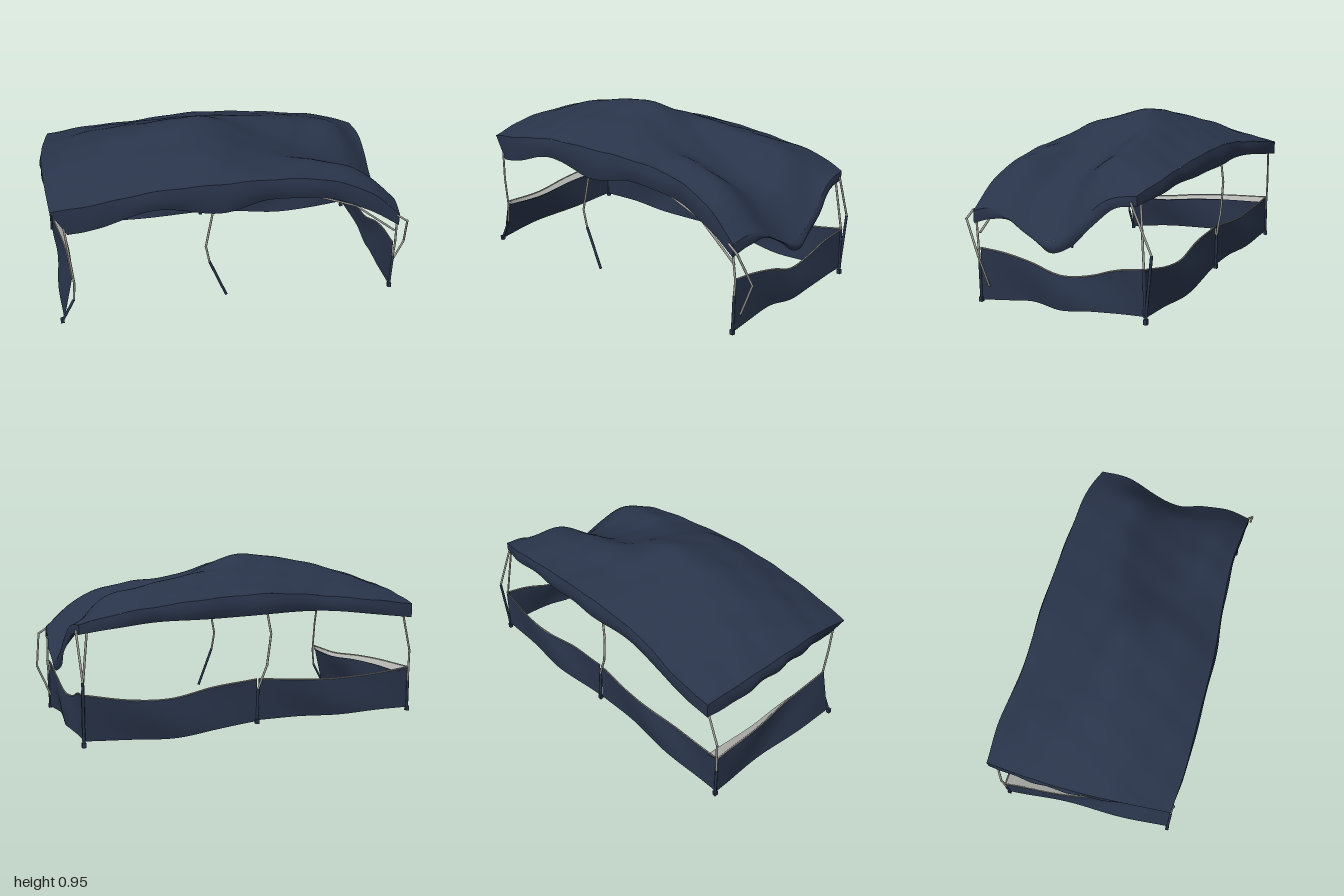
import * as THREE from 'three';

const mat = (name, color, side = THREE.FrontSide) => {
  const m = new THREE.MeshStandardMaterial({ color, side });
  m.name = name;
  return m;
};

// Smooth value at t (0..1) through evenly spaced values
function along(vals, t) {
  const n = vals.length - 1, s = Math.min(Math.max(t, 0), 1) * n;
  const i = Math.min(Math.floor(s), n - 1), f = s - i;
  const b = vals[i], c = vals[i + 1];
  const a = i > 0 ? vals[i - 1] : 2 * b - c;
  const d = i + 2 <= n ? vals[i + 2] : 2 * c - b;
  return b + 0.5 * f * (c - a + f * (2 * a - 5 * b + 4 * c - d + f * (3 * (b - c) + d - a)));
}

// Cloth surface: place(u, v) gives the point for u, v in 0..1
function sheet(name, material, nu, nv, place) {
  const g = new THREE.PlaneGeometry(1, 1, nu, nv), p = g.attributes.position;
  for (let i = 0; i < p.count; i++) p.setXYZ(i, ...place(p.getX(i) + 0.5, 0.5 - p.getY(i)));
  g.computeVertexNormals();
  const m = new THREE.Mesh(g, material);
  m.name = name;
  return m;
}

// Bent pole: straight rods between points with a small joint at each bend
function pole(name, material, points, r = 0.006) {
  const group = new THREE.Group();
  group.name = name;
  const pts = points.map(p => new THREE.Vector3(...p));
  for (let i = 0; i < pts.length - 1; i++) {
    const dir = pts[i + 1].clone().sub(pts[i]);
    const rod = new THREE.Mesh(new THREE.CylinderGeometry(r, r, dir.length(), 8), material);
    rod.position.copy(pts[i]).addScaledVector(dir, 0.5);
    rod.quaternion.setFromUnitVectors(new THREE.Vector3(0, 1, 0), dir.normalize());
    rod.name = 'rod';
    group.add(rod);
    if (i === 0) continue;
    const joint = new THREE.Mesh(new THREE.SphereGeometry(r * 1.15, 8, 6), material);
    joint.position.copy(pts[i]);
    joint.name = 'joint';
    group.add(joint);
  }
  return group;
}

// Roof heights: one row per x station (right end to left end), values from back to front
const stations = [-1, -0.75, -0.45, -0.1, 0.2, 0.5, 0.75, 0.95];
const roofRows = [
  [0.68, 0.71, 0.73, 0.745, 0.745, 0.72, 0.68],
  [0.71, 0.76, 0.81, 0.83, 0.82, 0.77, 0.715],
  [0.74, 0.80, 0.86, 0.905, 0.88, 0.83, 0.755],
  [0.77, 0.82, 0.875, 0.94, 0.90, 0.86, 0.77],
  [0.76, 0.80, 0.855, 0.825, 0.81, 0.80, 0.76],
  [0.73, 0.78, 0.805, 0.72, 0.705, 0.765, 0.73],
  [0.70, 0.735, 0.73, 0.61, 0.605, 0.69, 0.65],
  [0.65, 0.62, 0.48, 0.39, 0.44, 0.52, 0.50],
];
const backZ = [-0.53, -0.53, -0.49, -0.49, -0.485, -0.475, -0.465, -0.42];
const frontZ = [0.48, 0.5, 0.5, 0.5, 0.48, 0.47, 0.49, 0.51];

function roof(u, v) {
  const y = along(roofRows.map(r => along(r, v)), u);
  const bow = Math.sin(Math.PI * v) * 0.035;
  const x = along(stations, u) + (u < 0.5 ? (1 - 2 * u) * (0.037 - bow) : (2 * u - 1) * (bow - 0.03));
  const z = THREE.MathUtils.lerp(along(backZ, u), along(frontZ, u), v);
  const wrinkle = 0.004 * Math.sin(9 * x + 23 * z) * Math.sin(17 * x - 8 * z);
  return [x, y + wrinkle, z];
}

export function createModel() {
  const model = new THREE.Group();
  model.name = 'canopyTent';
  const cloth = mat('navyCloth', 0x29344a, THREE.DoubleSide);
  const metal = mat('greyMetal', 0x9b9a96);
  const lining = mat('paleLining', 0xb2b2ae);

  model.add(sheet('roof', cloth, 64, 40, roof));

  // Hanging valances: roof edge, hem heights, outward direction and
  // how far the hem tucks in towards the front right corner
  const edges = {
    frontValance: [t => roof(t, 1), [0.54, 0.57, 0.65, 0.60, 0.64, 0.62, 0.54, 0.43], [0, 1],
      t => 0.08 * Math.max(0, 1 - t / 0.12)],
    backValance: [t => roof(t, 0), [0.60, 0.63, 0.66, 0.66, 0.65, 0.65, 0.63, 0.60], [0, -1], () => 0],
    leftEndValance: [t => roof(1, t), [0.60, 0.58, 0.48, 0.37, 0.335, 0.41, 0.47, 0.465, 0.43], [1, 0], () => 0],
    rightEndValance: [t => roof(0, t), [0.60, 0.61, 0.64, 0.65, 0.64, 0.61, 0.54], [-1, 0],
      t => 0.08 * t ** 3],
  };
  for (const [name, [edge, hem, out, tuck]] of Object.entries(edges)) {
    model.add(sheet(name, cloth, 60, 6, (t, v) => {
      const [x, y, z] = edge(t);
      const fold = (0.012 * Math.sin(Math.PI * v) + 0.007 * v * Math.sin(31 * t)) * Math.sin(Math.PI * t);
      return [x + out[0] * fold + tuck(t) * v, THREE.MathUtils.lerp(y, along(hem, t), v), z + out[1] * fold];
    }));
  }

  // Low walls: a ground line with top and bottom heights, and a rope along the top
  const wall = (name, a, b, tops, bottoms, lean = 0) => {
    const at = (t, v) => {
      const wave = 0.014 * Math.sin(Math.PI * t) * Math.sin(6 * t + 3 * v);
      const dx = b[0] - a[0], dz = b[1] - a[1], len = Math.hypot(dx, dz);
      return [
        a[0] + dx * t - dz / len * wave + lean * v * t,
        THREE.MathUtils.lerp(along(tops, t), along(bottoms, t), v),
        a[1] + dz * t + dx / len * wave,
      ];
    };
    model.add(sheet(name, cloth, 28, 8, at));
    const line = Array.from({ length: 15 }, (_, i) => new THREE.Vector3(...at(i / 14, 0)));
    const rope = new THREE.Mesh(
      new THREE.TubeGeometry(new THREE.CatmullRomCurve3(line), 28, 0.004, 6), metal);
    rope.name = name + 'Rope';
    model.add(rope);
    return at;
  };
  wall('backWallRightHalf', [-0.99, -0.47], [-0.045, -0.465],
    [0.30, 0.275, 0.27, 0.285, 0.305], [0.06, 0.065, 0.06, 0.07, 0.075]);
  wall('backWallLeftHalf', [-0.035, -0.465], [0.92, -0.465],
    [0.305, 0.28, 0.24, 0.255, 0.30], [0.07, 0.05, 0.025, 0.04, 0.06]);
  wall('leftEndWall', [0.92, -0.465], [0.91, 0.48],
    [0.30, 0.275, 0.225, 0.21, 0.26, 0.29, 0.30], [0.065, 0.06, 0.05, 0.03, 0.05, 0.035, 0.02]);
  const rightWall = wall('rightEndWall', [-0.99, -0.47], [-0.88, 0.48],
    [0.30, 0.295, 0.285, 0.265, 0.27], [0.06, 0.055, 0.05, 0.04, 0.015], -0.06);

  // Flap folded inward along the right end wall: pale on top, cloth below
  const flap = drop => (u, v) => {
    const t = 1 - u, [x, y, z] = rightWall(t, 0);
    return [x + 0.07 * v * (1 - t), y - 0.022 * v - drop, z];
  };
  model.add(sheet('wallFlapLining', lining, 20, 2, flap(0)));
  model.add(sheet('wallFlap', cloth, 20, 2, flap(0.004)));

  // Bent legs: bare metal above, cloth sleeve below
  const legs = {
    frontLeftLeg: [[[0.9, 0.5, 0.52], [0.96, 0.46, 0.525], [0.99, 0.28, 0.44], [0.915, 0.1, 0.43]]],
    frontLeftPost: [[[0.91, 0.46, 0.5], [0.92, 0.3, 0.485], [0.915, 0.22, 0.485]],
      [[0.915, 0.22, 0.485], [0.91, 0.02, 0.485]]],
    backLeftLeg: [[[0.93, 0.62, -0.39], [0.925, 0.37, -0.497]],
      [[0.925, 0.37, -0.497], [0.92, 0.11, -0.47], [0.92, 0.03, -0.465]]],
    backLeftPost: [[[0.88, 0.62, -0.42], [0.92, 0.3, -0.455]], [[0.92, 0.3, -0.455], [0.92, 0.06, -0.46]]],
    frontLeftBrace: [[[0.42, 0.64, 0.46], [0.68, 0.55, 0.465], [0.91, 0.38, 0.48]]],
    backMiddleLeg: [[[-0.08, 0.72, -0.47], [-0.11, 0.55, -0.48], [-0.09, 0.38, -0.475], [-0.04, 0.25, -0.47]],
      [[-0.04, 0.25, -0.47], [-0.035, 0.06, -0.47]]],
    backRightLeg: [[[-0.92, 0.64, -0.5], [-0.99, 0.4, -0.48], [-0.99, 0.22, -0.475]],
      [[-0.99, 0.22, -0.475], [-0.99, 0.05, -0.475]]],
    frontRightLeg: [[[-0.9, 0.58, 0.48], [-0.885, 0.42, 0.49], [-0.87, 0.24, 0.485], [-0.88, 0.14, 0.485]],
      [[-0.88, 0.14, 0.485], [-0.945, 0.02, 0.485]]],
    frontMiddleLeg: [[[-0.07, 0.72, 0.48], [-0.12, 0.6, 0.485], [-0.16, 0.4, 0.495], [-0.14, 0.3, 0.49]],
      [[-0.14, 0.3, 0.49], [-0.045, 0.07, 0.48]]],
  };
  for (const [name, [bare, sleeve]] of Object.entries(legs)) {
    model.add(pole(name, metal, bare));
    if (sleeve) model.add(pole(name + 'Sleeve', cloth, sleeve, 0.0075));
  }

  // Corner feet
  for (const [x, y, z] of [[0.91, 0.022, 0.485], [0.92, 0.04, -0.465], [-0.99, 0.055, -0.475],
    [-0.95, 0.013, 0.485], [-0.035, 0.07, -0.47]]) {
    const foot = new THREE.Mesh(new THREE.BoxGeometry(0.02, 0.026, 0.02), cloth);
    foot.position.set(x, y, z);
    foot.name = 'foot';
    model.add(foot);
  }
  return model;
}
